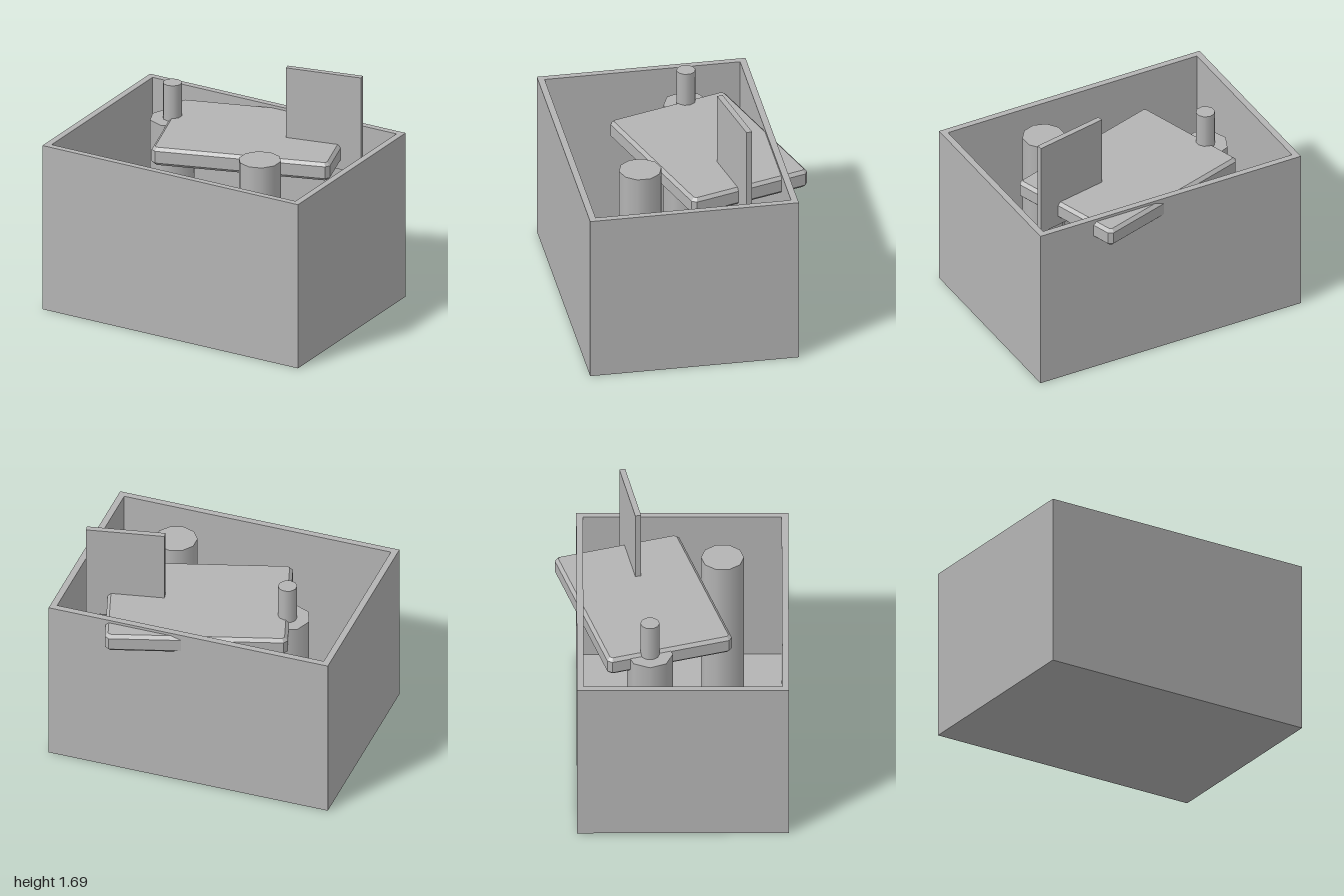
import * as THREE from 'three';

const grey = new THREE.MeshStandardMaterial({ color: 0xb4b4b4 });
grey.name = 'plain grey';

function add(parent, name, geometry, x, y, z, turn = 0) {
  const mesh = new THREE.Mesh(geometry, grey);
  mesh.name = name;
  mesh.position.set(x, y, z);
  mesh.rotation.y = turn;
  parent.add(mesh);
  return mesh;
}

// upright cylinder between two heights
function post(parent, name, x, z, radius, bottom, top, sides) {
  const geometry = new THREE.CylinderGeometry(radius, radius, top - bottom, sides);
  add(parent, name, geometry, x, (bottom + top) / 2, z);
}

function rectangle(Path, w, d) {
  const p = new Path();
  p.moveTo(-w / 2, -d / 2).lineTo(w / 2, -d / 2).lineTo(w / 2, d / 2).lineTo(-w / 2, d / 2);
  p.closePath();
  return p;
}

// block with chamfered edges and cut corners, standing on its base
function chamferedSlab(w, h, d, bevel, cut) {
  const a = w / 2 - bevel, b = d / 2 - bevel;
  const shape = new THREE.Shape([
    [a - cut, -b], [a, -b + cut], [a, b - cut], [a - cut, b],
    [-a + cut, b], [-a, b - cut], [-a, -b + cut], [-a + cut, -b],
  ].map(([x, y]) => new THREE.Vector2(x, y)));
  const geometry = new THREE.ExtrudeGeometry(shape, {
    depth: h - 2 * bevel, bevelEnabled: true, bevelSegments: 1,
    bevelSize: bevel, bevelThickness: bevel,
  });
  return geometry.rotateX(-Math.PI / 2).translate(0, bevel, 0);
}

export function createModel() {
  const model = new THREE.Group();
  model.name = 'openBox';

  // open box: floor and one ring of walls
  const wall = 0.045, width = 2, depth = 1.43, height = 1.2, midZ = 0.075;
  const ring = rectangle(THREE.Shape, width, depth);
  ring.holes.push(rectangle(THREE.Path, width - 2 * wall, depth - 2 * wall));
  const walls = new THREE.ExtrudeGeometry(ring, { depth: height, bevelEnabled: false });
  add(model, 'boxWalls', walls.rotateX(-Math.PI / 2), 0, 0, midZ);
  const floor = new THREE.BoxGeometry(width - 2 * wall, wall, depth - 2 * wall);
  add(model, 'boxFloor', floor, 0, wall / 2, midZ);

  // tilted slab whose corner pokes through the back wall
  add(model, 'slab', chamferedSlab(1.235, 0.13, 0.88, 0.022, 0.015), 0.085, 1.05, -0.19, 0.302);

  // upright board standing through the slab
  add(model, 'uprightBoard', new THREE.BoxGeometry(0.535, 0.69, 0.04), 0.578, 1.345, -0.277, 0.2);

  // posts inside the box
  post(model, 'frontPost', 0.44, 0.345, 0.145, wall, 1.245, 10);
  post(model, 'rearPost', -0.535, -0.147, 0.155, wall, 1.16, 8);
  post(model, 'rearPeg', -0.535, -0.147, 0.065, 1.15, 1.42, 10);

  return model;
}
